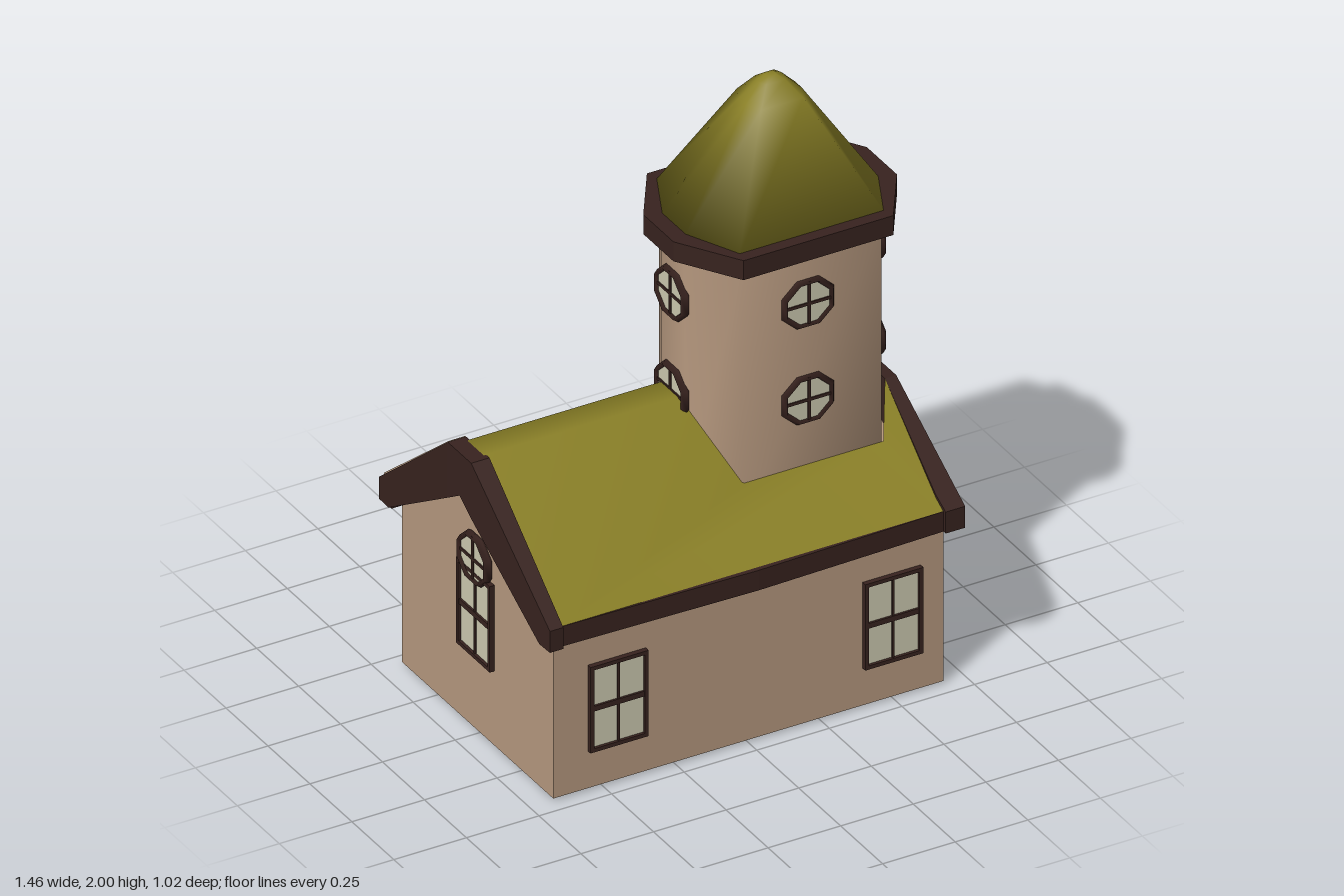
import * as THREE from 'three';

const mat = (color, side = THREE.FrontSide) =>
  new THREE.MeshStandardMaterial({ color, side });
const WALL = mat(0xb89a80), ROOF = mat(0x8a8026, THREE.DoubleSide), TRIM = mat(0x38231f),
  PANE = mat(0xcfccb2), DOOR = mat(0x5c2c1c), BRASS = mat(0xc8a040);

const lerp = THREE.MathUtils.lerp;

function add(parent, name, geo, material, x = 0, y = 0, z = 0) {
  const mesh = new THREE.Mesh(geo, material);
  mesh.name = name;
  mesh.position.set(x, y, z);
  parent.add(mesh);
  return mesh;
}

const box = (parent, name, w, h, d, material, x, y, z) =>
  add(parent, name, new THREE.BoxGeometry(w, h, d), material, x, y, z);

function surface(points, index, smooth) {
  let geo = new THREE.BufferGeometry();
  geo.setAttribute('position', new THREE.Float32BufferAttribute(points.flat(), 3));
  geo.setIndex(index);
  if (!smooth) geo = geo.toNonIndexed();
  geo.computeVertexNormals();
  return geo;
}

// Skin over rings of equal size (counter-clockwise seen from the last ring's end)
function loft(rings, { smooth = false, caps = true } = {}) {
  const n = rings[0].length, last = (rings.length - 1) * n, index = [];
  for (let i = 0; i < rings.length - 1; i++) {
    for (let j = 0; j < n; j++) {
      const a = i * n + j, b = i * n + (j + 1) % n;
      index.push(a, b, b + n, a, b + n, a + n);
    }
  }
  if (caps) {
    for (let j = 1; j < n - 1; j++) {
      index.push(0, j + 1, j, last, last + j, last + j + 1);
    }
  }
  return surface(rings.flat(), index, smooth);
}

// Stretched octagon of the tower, by half sizes
const TX = 0.335;
const octagon = (y, hx, hz, cx, cz) =>
  [[hx, -cz], [cx, -hz], [-cx, -hz], [-hx, -cz], [-hx, cz], [-cx, hz], [cx, hz], [hx, cz]]
    .map(([x, z]) => [TX + x, y, z]);

// Chevron board on a gable end
function gableBoard(inner, outer, top, peak, lean) {
  const s = Math.sign(outer);
  return loft([-0.51, -0.45, -0.07, 0, 0.07, 0.45, 0.51].map((z) => {
    const a = Math.abs(z), t = Math.min(1, (0.51 - a) / 0.44);
    const yt = lerp(0.64, top, t);
    const yb = a >= 0.45 ? 0.565 : lerp(peak, 0.565, a / 0.45);
    const xi = inner + s * lean * Math.max(0, t - 0.25);
    const xo = outer + s * 0.017 * t;
    const x0 = Math.min(xi, xo), x1 = Math.max(xi, xo);
    return [[x0, yb, z], [x1, yb, z], [x1, yt, z], [x0, yt, z]];
  }));
}

function place(parent, item, name, x, y, z, turn) {
  item.name = name;
  item.position.set(x, y, z);
  item.rotation.y = turn;
  parent.add(item);
}

// Rectangular frame, facing +z
function frame(g, w, h, t, d) {
  for (const s of [-1, 1]) {
    box(g, 'frameSide', t, h, d, TRIM, s * (w - t) / 2, 0, 0);
    box(g, 'frameRail', w, t, d, TRIM, 0, s * (h - t) / 2, 0);
  }
}

function squareWindow() {
  const g = new THREE.Group();
  frame(g, 0.2, 0.3, 0.013, 0.03);
  box(g, 'pane', 0.19, 0.29, 0.01, PANE, 0, 0, 0);
  box(g, 'upright', 0.008, 0.29, 0.02, TRIM, 0, 0, 0);
  box(g, 'crossbar', 0.19, 0.018, 0.024, TRIM, 0, 0, 0);
  return g;
}

function roundWindow() {
  const g = new THREE.Group();
  const ring = add(g, 'frameRing', new THREE.TorusGeometry(0.083, 0.012, 4, 8).rotateZ(Math.PI / 8), TRIM);
  ring.scale.set(1.03, 0.95, 1.4);
  const pane = add(g, 'pane', new THREE.CylinderGeometry(0.083, 0.083, 0.012, 8)
    .rotateY(Math.PI / 8).rotateX(Math.PI / 2), PANE);
  pane.scale.y = 0.95;
  box(g, 'upright', 0.01, 0.155, 0.02, TRIM, 0, 0, 0);
  box(g, 'crossbar', 0.165, 0.01, 0.02, TRIM, 0, 0, 0);
  return g;
}

export function createModel() {
  const house = new THREE.Group();
  house.name = 'house';

  // Main walls, with a taller gable at the far end from the door
  const wallRing = (x, peak) =>
    [[x, peak, 0], [x, 0.58, 0.45], [x, 0.01, 0.45], [x, 0.01, -0.45], [x, 0.58, -0.45]];
  add(house, 'walls', loft([wallRing(-0.672, 0.9), wallRing(0.672, 0.76)]), WALL);

  // Main roof, fitted around the foot of the tower
  const side = [[-0.67, 0.635, 0.495], [0.66, 0.635, 0.495], [0.58, 0.77, 0.25], [0.1, 0.77, 0.25],
    [0.01, 1, 0.05], [-0.68, 1, 0.05], [0.69, 0.86, 0.07]];
  const n = side.length;
  const faces = [0, 1, 2, 0, 2, 3, 0, 3, 4, 0, 4, 5, 1, 6, 2];
  const mirrored = faces.map((i) => i + n).reverse();
  const ridge = [5, 4, 4 + n, 5, 4 + n, 5 + n];
  add(house, 'roof', surface([...side, ...side.map(([x, y, z]) => [x, y, -z])],
    [...faces, ...mirrored, ...ridge], true), ROOF);

  // Gable boards, and the pale strip capping one of them
  add(house, 'doorGableBoard', gableBoard(0.645, 0.712, 0.86, 0.72, 0.06), TRIM);
  add(house, 'rearGableBoard', gableBoard(-0.672, -0.718, 1, 0.85, 0), TRIM);
  add(house, 'gableStrip', loft([[-0.485, 0.664], [-0.07, 1]].map(([z, y]) => {
    const x0 = y > 0.9 ? -0.73 : -0.714;
    return [[x0, y - 0.02, z], [-0.674, y - 0.02, z], [-0.674, y + 0.003, z], [x0, y + 0.003, z]];
  })), WALL);

  // Eaves, bowed slightly outwards
  for (const s of [-1, 1]) {
    add(house, 'eaves', loft([[-0.715, 0.495], [0, 0.512], [0.71, 0.495]].map(([x, z]) => {
      const lo = Math.min(s * 0.44, s * z), hi = Math.max(s * 0.44, s * z);
      return [[x, 0.635, lo], [x, 0.635, hi], [x, 0.565, hi], [x, 0.565, lo]];
    })), TRIM);
  }

  // Tower
  const tower = new THREE.Group();
  tower.name = 'tower';
  house.add(tower);
  add(tower, 'towerWalls', loft([octagon(0.65, 0.335, 0.248, 0.24, 0.07),
    octagon(1.52, 0.335, 0.248, 0.24, 0.07)], { smooth: true, caps: false }), WALL);
  add(tower, 'towerRim', loft([octagon(1.507, 0.385, 0.288, 0.258, 0.09),
    octagon(1.575, 0.385, 0.288, 0.258, 0.09)]), TRIM);
  add(tower, 'spire', loft([[1.57, 1], [1.93, 0.29], [1.985, 0.13], [2, 0.05]].map(([y, k]) =>
    octagon(y, 0.335 * k, 0.25 * k, 0.25 * k, 0.07 * k)), { smooth: true }), ROOF);

  // Tower windows on four sides, two storeys
  for (const y of [1, 1.335]) {
    place(tower, roundWindow(), 'towerWindow', 0.32, y, 0.25, 0);
    place(tower, roundWindow(), 'towerWindow', 0.32, y, -0.25, Math.PI);
    place(tower, roundWindow(), 'towerWindow', 0.672, y, 0, Math.PI / 2);
    place(tower, roundWindow(), 'towerWindow', -0.002, y, 0, -Math.PI / 2);
  }

  // House windows
  for (const x of [-0.453, 0.493]) {
    place(house, squareWindow(), 'window', x, 0.29, 0.452, 0);
    place(house, squareWindow(), 'window', x, 0.29, -0.452, Math.PI);
  }
  place(house, squareWindow(), 'gableWindow', -0.674, 0.42, 0, -Math.PI / 2);
  place(house, roundWindow(), 'gableRoundWindow', -0.682, 0.615, 0, -Math.PI / 2);

  // Door with threshold and handle
  const door = new THREE.Group();
  frame(door, 0.23, 0.392, 0.02, 0.036);
  box(door, 'doorPanel', 0.2, 0.37, 0.016, DOOR, 0, 0, 0);
  box(door, 'handle', 0.022, 0.008, 0.016, BRASS, 0.063, 0.012, 0.012);
  place(house, door, 'door', 0.673, 0.202, 0.012, Math.PI / 2);
  box(house, 'threshold', 0.1, 0.012, 0.23, TRIM, 0.64, 0.006, 0.012);

  return house;
}
